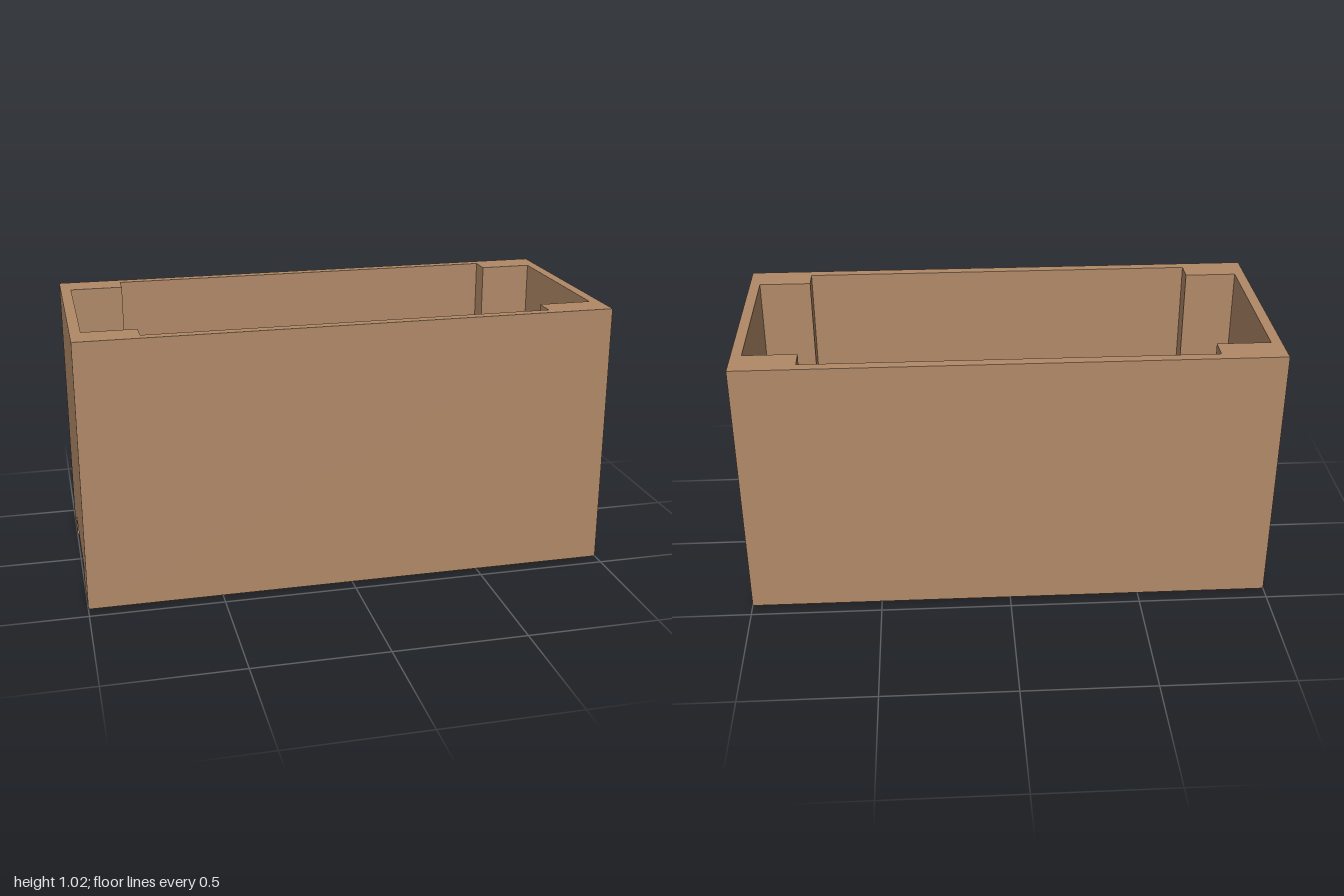
import * as THREE from 'three';

export function createModel() {
  const group = new THREE.Group();
  group.name = 'planterBox';
  const wood = new THREE.MeshStandardMaterial({ color: 0xb08968 });
  wood.name = 'wood';

  // Board given by its lower and upper corners
  const board = (name, x0, x1, y0, y1, z0, z1) => {
    const mesh = new THREE.Mesh(new THREE.BoxGeometry(x1 - x0, y1 - y0, z1 - z0), wood);
    mesh.position.set((x0 + x1) / 2, (y0 + y1) / 2, (z0 + z1) / 2);
    mesh.name = name;
    group.add(mesh);
  };
  // Same board on the positive or negative side of an axis
  const span = (s, a, b) => (s > 0 ? [a, b] : [-b, -a]);

  const X = 1, Z = 0.443, TOP = 1.018, WALL = 0.04, RAIL = 0.086;
  const innerX = X - WALL, innerZ = Z - WALL, floorTop = RAIL + WALL;

  for (const s of [1, -1]) {
    const side = s > 0 ? 'front' : 'back';
    // Long walls reach the ground and cover the rails
    board(side + 'Wall', -X, X, 0, TOP, ...span(s, innerZ, Z));
    // Foot rails under the floor
    board(side + 'FootRail', -X, X, 0, RAIL, ...span(s, 0.246, innerZ));
    // End walls stand on the rails
    board(s > 0 ? 'leftEndWall' : 'rightEndWall', ...span(s, innerX, X), RAIL, TOP, -innerZ, innerZ);
    // Corner posts
    for (const t of [1, -1]) {
      board(side + (t > 0 ? 'Left' : 'Right') + 'Post',
        ...span(t, 0.76, innerX), floorTop, TOP, ...span(s, 0.32, innerZ));
    }
  }

  // Floor slats with drainage gaps
  const count = 8, width = 0.197;
  const pitch = (2 * innerX - width) / (count - 1);
  for (let i = 0; i < count; i++) {
    const x = -innerX + i * pitch;
    board('floorSlat' + (i + 1), x, x + width, RAIL, floorTop, -innerZ, innerZ);
  }
  return group;
}
